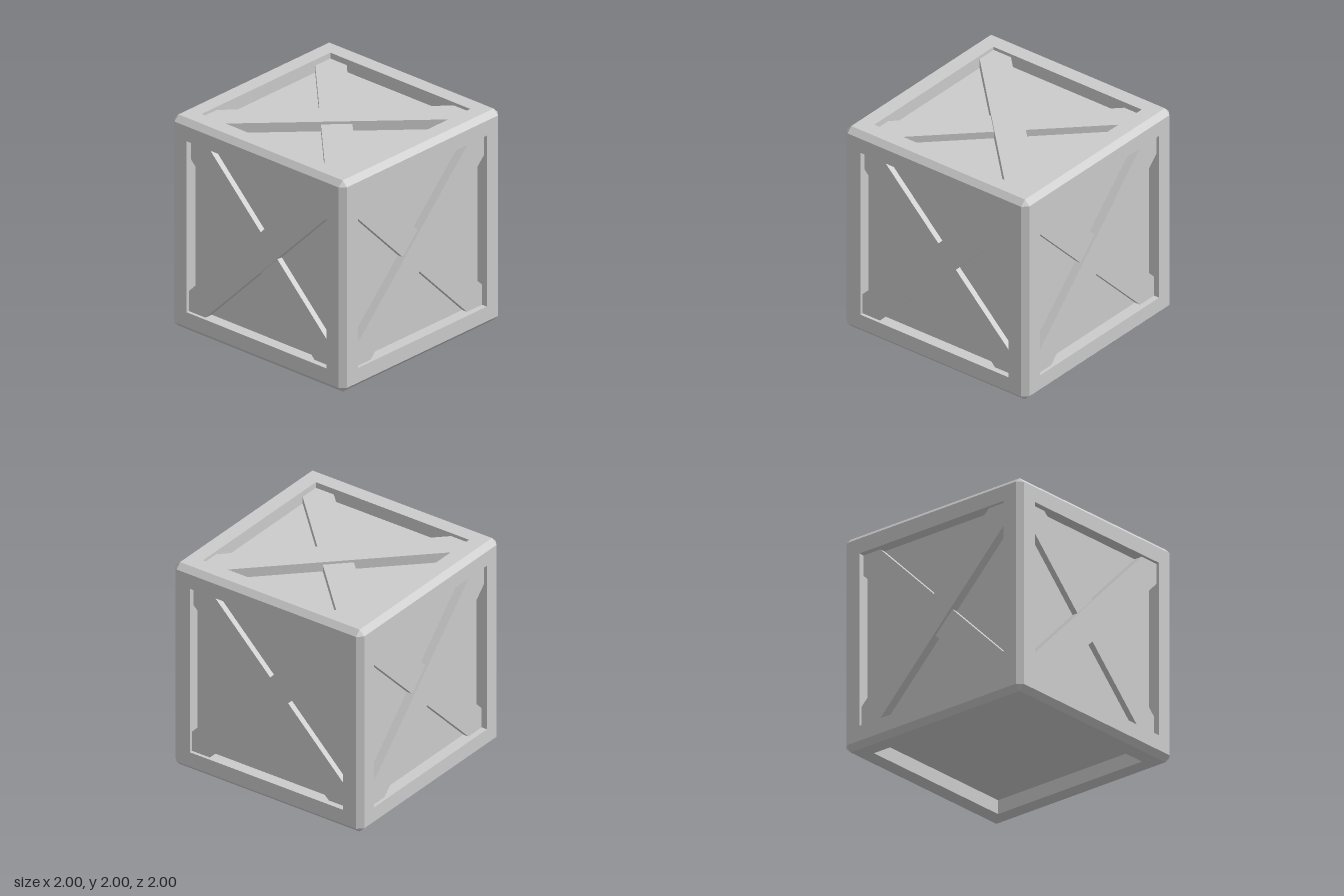
import * as THREE from 'three';

const HALF = 1;        // half the crate
const RIM = 0.95;      // half the flat face inside the bevels
const OPEN = 0.81;     // half the opening in each face
const REACH = 0.19;    // how far a brace runs along the sides from its corner

const material = new THREE.MeshStandardMaterial({ color: 0xcccccc, flatShading: true });

function mesh(name, geometry) {
  const m = new THREE.Mesh(geometry, material);
  m.name = name;
  return m;
}

function polygon(points) {
  return new THREE.Shape(points.map(([x, y]) => new THREE.Vector2(x, y)));
}

const square = (h) => [[-h, -h], [h, -h], [h, h], [-h, h]];

// Diagonal plank with its ends cut to fit the corners of the opening
function brace(name, depth, inset, turn) {
  const o = OPEN, k = OPEN - REACH;
  const shape = polygon([[-o, -o], [-k, -o], [o, k], [o, o], [k, o], [-o, -k]]);
  const geometry = new THREE.ExtrudeGeometry(shape, { depth: depth - inset, bevelEnabled: false });
  geometry.rotateZ(turn).translate(0, 0, HALF - depth);
  return mesh(name, geometry);
}

// One side of the crate, facing +z: flat rim, recess walls, panel and braces
function crateSide(name, depth, hasBraces) {
  const side = new THREE.Group();
  side.name = name;

  const rim = polygon(square(RIM));
  rim.holes.push(polygon(square(OPEN)));
  side.add(mesh('rim', new THREE.ShapeGeometry(rim).translate(0, 0, HALF)));

  for (let i = 0; i < 4; i++) {
    const wall = new THREE.PlaneGeometry(2 * OPEN, depth);
    wall.rotateX(-Math.PI / 2).translate(0, -OPEN, HALF - depth / 2).rotateZ(i * Math.PI / 2);
    side.add(mesh('recessWall', wall));
  }

  const panel = new THREE.PlaneGeometry(2 * OPEN, 2 * OPEN).translate(0, 0, HALF - depth);
  side.add(mesh('panel', panel));

  if (hasBraces) {
    side.add(brace('outerBrace', depth, 0.03, 0));
    side.add(brace('innerBrace', depth, 0.055, Math.PI / 2));
  }
  return side;
}

// Bevels along the twelve edges and the eight corners
function bevelGeometry() {
  const positions = [];
  const ab = new THREE.Vector3(), ac = new THREE.Vector3();
  const triangle = (a, b, c) => {
    // wind each triangle so that it faces away from the centre
    ab.subVectors(b, a);
    ac.subVectors(c, a);
    const outward = ab.cross(ac).dot(a) > 0;
    for (const p of outward ? [a, b, c] : [a, c, b]) positions.push(p.x, p.y, p.z);
  };
  const point = (axis, along, u, v) => {
    const p = new THREE.Vector3();
    p.setComponent(axis, along);
    p.setComponent((axis + 1) % 3, u);
    p.setComponent((axis + 2) % 3, v);
    return p;
  };
  for (const s of [-1, 1]) {
    for (const t of [-1, 1]) {
      for (let axis = 0; axis < 3; axis++) {
        const a = point(axis, -RIM, s * HALF, t * RIM);
        const b = point(axis, RIM, s * HALF, t * RIM);
        const c = point(axis, RIM, s * RIM, t * HALF);
        const d = point(axis, -RIM, s * RIM, t * HALF);
        triangle(a, b, c);
        triangle(a, c, d);
      }
      for (const w of [-1, 1]) {
        triangle(
          point(0, s * HALF, t * RIM, w * RIM),
          point(0, s * RIM, t * HALF, w * RIM),
          point(0, s * RIM, t * RIM, w * HALF)
        );
      }
    }
  }
  const geometry = new THREE.BufferGeometry();
  geometry.setAttribute('position', new THREE.Float32BufferAttribute(positions, 3));
  geometry.computeVertexNormals();
  return geometry;
}

export function createModel() {
  const crate = new THREE.Group();
  crate.name = 'crate';

  const body = new THREE.Group();
  body.name = 'body';
  body.position.y = HALF;
  crate.add(body);

  // Four upright sides
  ['front', 'left', 'back', 'right'].forEach((name, i) => {
    const side = crateSide(name + 'Side', 0.11, true);
    side.rotation.y = i * Math.PI / 2;
    body.add(side);
  });

  // Lid, with its outer brace on the other diagonal
  const lid = crateSide('lid', 0.12, true);
  lid.rotation.set(-Math.PI / 2, 0, Math.PI / 2);
  body.add(lid);

  // Plain base
  const base = crateSide('base', 0.13, false);
  base.rotation.x = Math.PI / 2;
  body.add(base);

  body.add(mesh('edgeBevels', bevelGeometry()));
  return crate;
}
